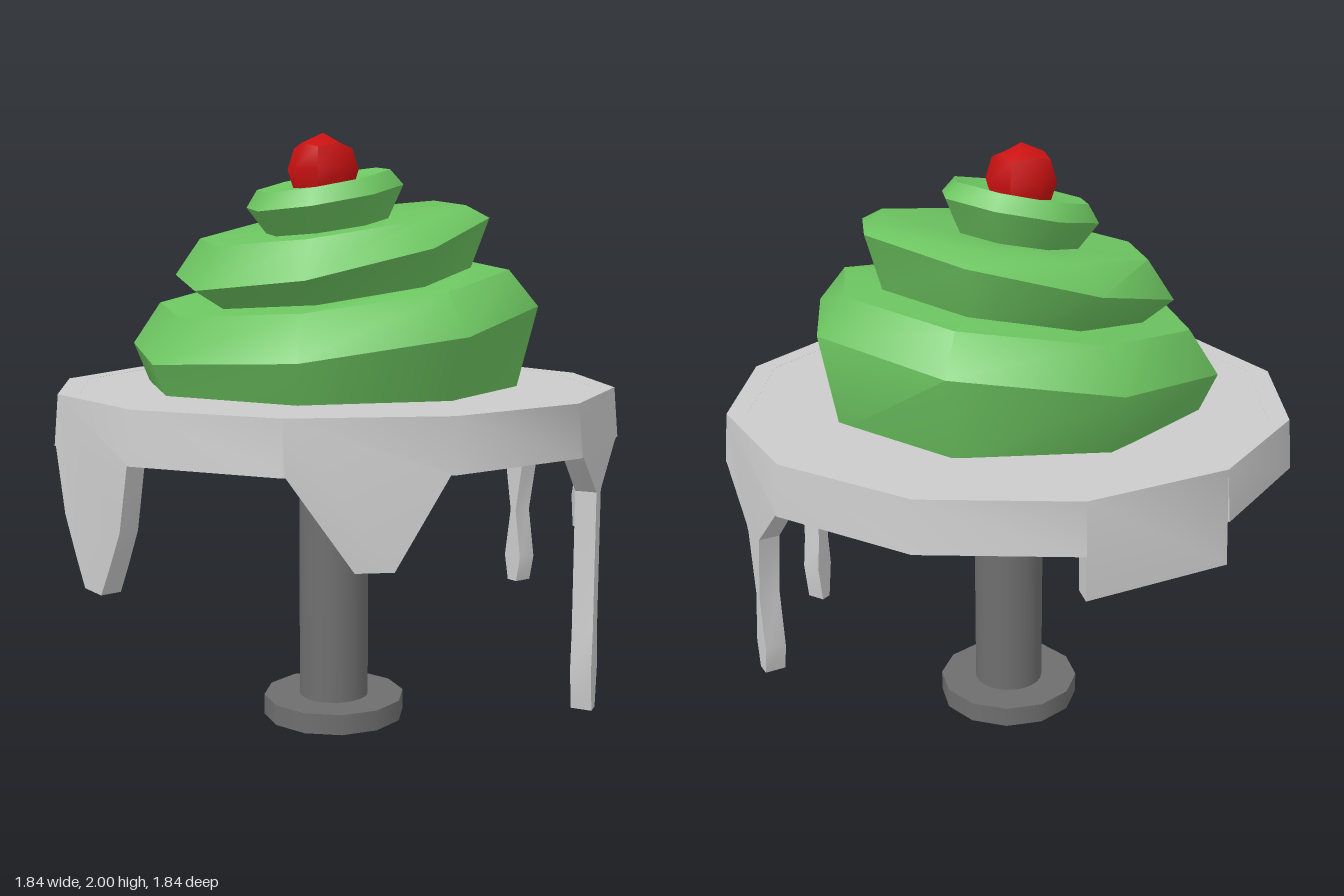
import * as THREE from 'three';
import { mergeGeometries, toCreasedNormals } from 'three/addons/utils/BufferGeometryUtils.js';

const RIM_R = 0.955, INNER = 0.925, RIM_TOP = 1.165, RIM_LOW = 1.0;

// Lower edge of each hanging drip: [t along the side 0..1, y], left to right seen from outside.
const mirrored = (half) => [...half, ...half.slice().reverse().map(([t, y]) => [1 - t, y])];
const DRIPS = {
  1: [[0.04, 1], [0.42, 0.86], [0.42, 0.4], [0.4, 0.28], [0.44, 0.14], [0.53, 0.14], [0.57, 0.28], [0.54, 0.4], [0.54, 0.86], [0.94, 1]],
  2: [[0.02, 1], [0.38, 0.81], [0.33, 0.75], [0.4, 0.645], [0.53, 0.645], [0.58, 0.75], [0.53, 0.81], [0.97, 1]],
  3: mirrored([[0.02, 1], [0.39, 0.84], [0.47, 0.62], [0.41, 0.44], [0.45, 0.345]]),
  6: [[0, 0.86], [1, 0.86]],
  9: mirrored([[0.02, 1], [0.13, 0.79], [0.27, 0.67], [0.39, 0.575]]),
  11: [[0.02, 1], [0.41, 0.725], [0.64, 0.725], [0.96, 1]],
};

// One side of the twelve-sided rim, with its drip, bent onto the polygon.
function rimSide(k) {
  const drip = DRIPS[k] || [];
  const pts = [[0, RIM_TOP]];
  if (k !== 6) pts.push([0, RIM_LOW]);
  pts.push(...drip);
  if (k !== 6) pts.push([1, RIM_LOW]);
  pts.push([1, RIM_TOP]);
  const shape = new THREE.Shape(pts.map(([t, y]) => new THREE.Vector2(t, y)));
  const geo = new THREE.ExtrudeGeometry(shape, { depth: 1, bevelEnabled: false });
  const a = Math.PI / 12, p = geo.attributes.position;
  for (let i = 0; i < p.count; i++) {
    const taper = p.getY(i) > 1.1 ? 0.985 : 1;
    const s = RIM_R * taper * (INNER + (1 - INNER) * p.getZ(i));
    p.setXYZ(i, s * Math.sin(a) * (2 * p.getX(i) - 1), p.getY(i), s * Math.cos(a));
  }
  return geo.rotateY(k * Math.PI / 6);
}

// Skin over tilted octagons: [left x, left y, right x, right y, z radius], bottom to top.
function tiltedRings(rings, n = 8) {
  const pos = [], idx = [];
  rings.forEach(([lx, ly, rx, ry, rz], j) => {
    for (let i = 0; i < n; i++) {
      const a = i / n * Math.PI * 2, c = Math.cos(a);
      pos.push((lx + rx + (rx - lx) * c) / 2, (ly + ry + (ry - ly) * c) / 2, rz * Math.sin(a));
      if (j === rings.length - 1) continue;
      const p = j * n + i, q = j * n + (i + 1) % n;
      idx.push(p, p + n, q, q, p + n, q + n);
    }
  });
  const geo = new THREE.BufferGeometry();
  geo.setAttribute('position', new THREE.Float32BufferAttribute(pos, 3));
  geo.setIndex(idx);
  return toCreasedNormals(geo, 0.85);
}

export function createModel() {
  const model = new THREE.Group();
  const add = (name, geo, color, y = 0, side = THREE.FrontSide) => {
    const mesh = new THREE.Mesh(geo, new THREE.MeshStandardMaterial({ color, side }));
    mesh.name = name;
    mesh.position.y = y;
    model.add(mesh);
    return mesh;
  };

  // Stand: shallow hollow foot and a round post
  const dark = 0x6e6e6e;
  add('footWall', new THREE.CylinderGeometry(0.245, 0.245, 0.07, 12, 1, true), dark, 0.035, THREE.DoubleSide);
  add('footTop', new THREE.CircleGeometry(0.245, 12).rotateX(-Math.PI / 2), dark, 0.07, THREE.DoubleSide);
  add('post', new THREE.CylinderGeometry(0.12, 0.12, 1.08, 24), dark, 0.605);

  // Icing plate: thin top slab inside a rim with drips
  const slab = new THREE.CylinderGeometry(0.92, 0.92, 0.025, 12);
  slab.rotateY(Math.PI / 12);
  add('plateTop', slab, 0xcccccc, 1.152);
  const sides = Array.from({ length: 12 }, (_, k) => rimSide(k));
  add('drippingRim', toCreasedNormals(mergeGeometries(sides), 0.6), 0xcccccc);

  // Swirled frosting in three tilted tiers
  add('frosting', tiltedRings([
    [-0.64, 1.135, 0.61, 1.135, 0.62],
    [-0.70, 1.265, 0.675, 1.46, 0.70],
    [-0.605, 1.41, 0.58, 1.575, 0.60],
    [-0.44, 1.43, 0.45, 1.58, 0.47],
    [-0.545, 1.49, 0.505, 1.76, 0.545],
    [-0.465, 1.63, 0.44, 1.785, 0.45],
    [-0.235, 1.66, 0.175, 1.73, 0.21],
    [-0.305, 1.74, 0.225, 1.845, 0.265],
    [-0.27, 1.80, 0.18, 1.893, 0.225],
    [-0.19, 1.81, 0.12, 1.86, 0.15],
    [-0.04, 1.83, -0.04, 1.83, 0],
  ]), 0x6cc460, 0, THREE.DoubleSide);

  // Cherry: a box puffed into a ball, creased along the box edges
  const cherry = new THREE.BoxGeometry(1, 1, 1, 2, 2, 2);
  const p = cherry.attributes.position, v = new THREE.Vector3();
  for (let i = 0; i < p.count; i++) {
    v.fromBufferAttribute(p, i).setLength(0.12);
    p.setXYZ(i, v.x, v.y, v.z);
  }
  cherry.computeVertexNormals();
  add('cherry', cherry, 0xcc1111, 1.88).position.x = -0.045;

  return model;
}
